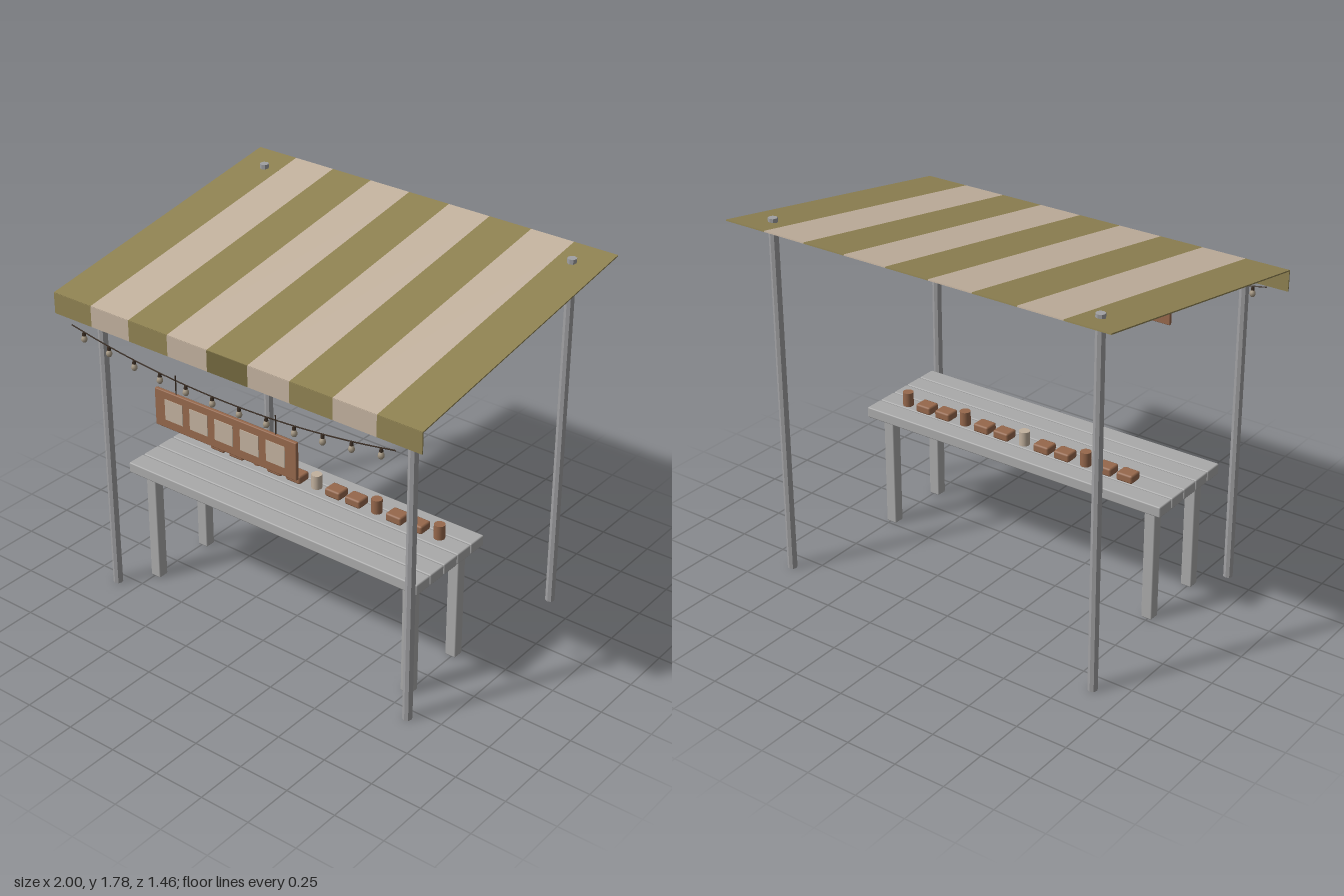
import * as THREE from 'three';
import { RoundedBoxGeometry } from 'three/addons/geometries/RoundedBoxGeometry.js';

const mat = (name, color, flat = false) => {
  const m = new THREE.MeshStandardMaterial({ color, flatShading: flat });
  m.name = name;
  return m;
};

export function createModel() {
  const olive = mat('olive cloth', 0x8f8252);
  const darkOlive = mat('dark olive cloth', 0x74693f);
  const beige = mat('beige cloth', 0xc2b19e);
  const metal = mat('grey metal', 0xa0a0a2, true);
  const wood = mat('grey wood', 0xaaaaaa);
  const brown = mat('brown wood', 0x96684c);
  const dark = mat('dark cord', 0x3a2d23);
  const glass = mat('bulb glass', 0xa59884);

  const model = new THREE.Group();
  model.name = 'marketStall';
  const add = (name, geometry, material, x, y, z, parent = model) => {
    const m = new THREE.Mesh(geometry, material);
    m.name = name;
    m.position.set(x, y, z);
    parent.add(m);
    return m;
  };
  const group = (name) => {
    const g = new THREE.Group();
    g.name = name;
    model.add(g);
    return g;
  };

  // Striped sloping awning with a hanging front valance
  const awning = group('awning');
  const front = { z: 0.695, y: 1.545 }, back = { z: -0.732, y: 1.775 };
  const run = front.z - back.z, rise = back.y - front.y;
  const stripe = 2 / 9;
  for (let i = 0; i < 9; i++) {
    const x = -1 + stripe * (i + 0.5);
    const cloth = i % 2 ? beige : olive;
    const panel = add('awningStripe', new THREE.BoxGeometry(stripe, 0.006, Math.hypot(run, rise)),
      cloth, x, (front.y + back.y) / 2, (front.z + back.z) / 2, awning);
    panel.rotation.x = Math.atan2(rise, run);
    add('valanceStripe', new THREE.BoxGeometry(stripe, 0.1, 0.006),
      i === 4 ? darkOlive : cloth, x, 1.496, 0.694, awning);
  }

  // Four posts; the back pair pokes through the awning
  for (const x of [-0.857, 0.857]) {
    for (const [name, z, h] of [['frontPost', 0.553, 1.547], ['backPost', -0.59, 1.775]]) {
      add(name, new THREE.CylinderGeometry(0.022, 0.023, h, 8), metal, x, h / 2, z);
    }
  }

  // Table of five planks on four square legs
  const table = group('table');
  for (let i = 0; i < 5; i++) {
    add('plank', new RoundedBoxGeometry(1.655, 0.053, 0.097, 1, 0.006), wood,
      0, 0.604, 0.416 - i * 0.1015, table);
  }
  for (const x of [-0.743, 0.743]) {
    for (const z of [0.385, 0.042]) {
      add('tableLeg', new RoundedBoxGeometry(0.055, 0.579, 0.055, 1, 0.005), wood, x, 0.2895, z, table);
    }
  }

  // Row of goods: two boxes then a jar, repeated
  const goods = group('goods');
  for (let i = 0; i < 12; i++) {
    const x = -0.572 + i * 0.1142;
    if (i % 3 === 2) {
      add('jar', new THREE.CylinderGeometry(0.026, 0.026, 0.07, 12), i === 5 ? beige : brown,
        x, 0.665, 0.098, goods);
    } else {
      add('box', new RoundedBoxGeometry(0.084, 0.041, 0.072, 1, 0.009), brown, x, 0.65, 0.098, goods);
    }
  }

  // Light string: sagging cord with small teardrop bulbs
  const lights = group('lightString');
  const cordY = (x) => 1.345 + 0.085 * (x / 0.885) ** 2;
  const cordZ = 0.712;
  const points = [];
  for (let i = 0; i <= 12; i++) {
    const x = -0.885 + (1.77 * i) / 12;
    points.push(new THREE.Vector3(x, cordY(x), cordZ));
  }
  add('cord', new THREE.TubeGeometry(new THREE.CatmullRomCurve3(points), 36, 0.003, 5),
    dark, 0, 0, 0, lights);
  const bulbShape = new THREE.LatheGeometry([
    [0, -0.025], [0.009, -0.022], [0.0145, -0.012], [0.013, -0.002], [0.007, 0.01], [0, 0.014],
  ].map(([r, y]) => new THREE.Vector2(r, y)), 10);
  for (let i = 0; i < 12; i++) {
    const x = -0.813 + i * 0.1478;
    add('bulb', bulbShape, glass, x, cordY(x) - 0.026, cordZ, lights);
    add('bulbCap', new THREE.CylinderGeometry(0.007, 0.009, 0.016, 8), dark, x, cordY(x) - 0.01, cordZ, lights);
  }

  // Hanging sign with five pale squares
  const sign = group('sign');
  add('signBoard', new RoundedBoxGeometry(0.78, 0.18, 0.018, 1, 0.004), brown, 0, 1.2, 0.718, sign);
  for (let i = -2; i <= 2; i++) {
    add('signSquare', new THREE.BoxGeometry(0.1, 0.1, 0.004), beige, i * 0.1405, 1.203, 0.728, sign);
  }
  for (const x of [-0.275, 0.275]) {
    add('signHanger', new THREE.CylinderGeometry(0.003, 0.003, 0.095, 6), dark, x, 1.332, 0.716, sign);
  }

  return model;
}
